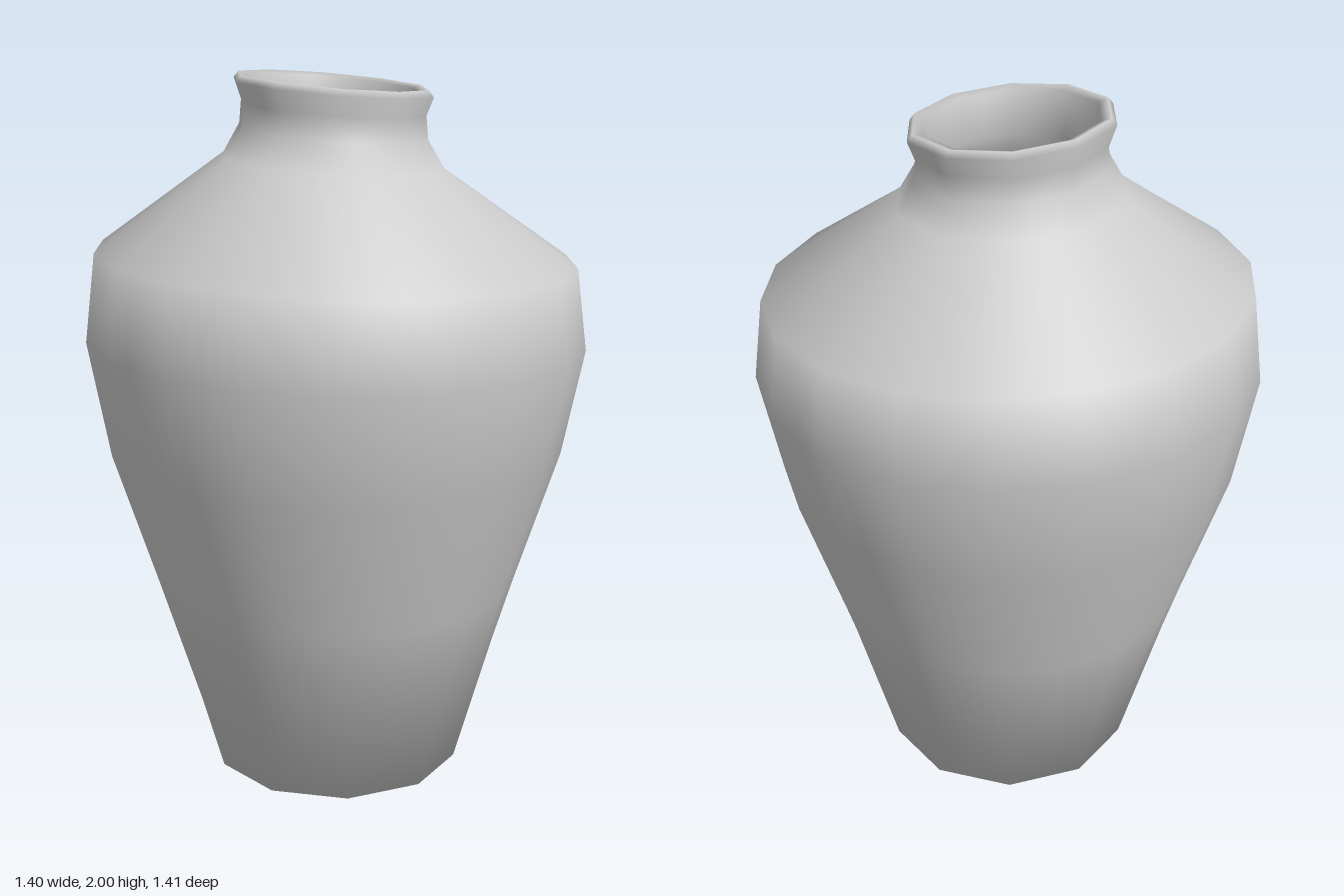
import * as THREE from 'three';

// Each ring: radius, height, number of sides, tilt (drop per unit of x and z)
const RINGS = [
  // base and outer wall
  [0.001, 0.005, 10, 0], [0.36, 0.005, 10, 0],
  [0.52, 0.56, 18, 0], [0.645, 0.95, 18, 0], [0.705, 1.265, 18, 0.015],
  // shoulder and neck
  [0.675, 1.505, 18, 0.025], [0.315, 1.765, 10, 0.04],
  [0.268, 1.845, 10, 0.05], [0.262, 1.91, 10, 0.05],
  // lip
  [0.282, 1.965, 10, 0.06], [0.268, 1.983, 10, 0.06], [0.24, 1.975, 10, 0.06],
  // inner wall and floor
  [0.225, 1.85, 10, 0.05], [0.28, 1.74, 10, 0.04], [0.635, 1.475, 18, 0.025],
  [0.66, 1.265, 18, 0.015], [0.605, 0.95, 18, 0], [0.33, 0.06, 10, 0], [0.001, 0.05, 10, 0],
];
const COLUMNS = 90; // shared multiple of all ring side counts

// Distance from centre to edge of a polygon, relative to its corner radius
function polygonScale(angle, sides) {
  const step = (Math.PI * 2) / sides;
  return Math.cos(step / 2) / Math.cos((angle % step) - step / 2);
}

export function createModel() {
  const group = new THREE.Group();
  group.name = 'vase';

  const profile = RINGS.map(([r, y]) => new THREE.Vector2(r, y));
  const geometry = new THREE.LatheGeometry(profile, COLUMNS, 0.07);

  // Flatten every ring to its polygon and lean the upper rings
  const pos = geometry.attributes.position;
  for (let i = 0; i < pos.count; i++) {
    const [, y, sides, tilt] = RINGS[i % RINGS.length];
    const column = Math.floor(i / RINGS.length);
    const s = polygonScale((column / COLUMNS) * Math.PI * 2 + 1e-6, sides);
    const x = pos.getX(i) * s;
    const z = pos.getZ(i) * s;
    const shift = y > 1.7 ? -0.015 : 0; // neck sits slightly toward the back
    pos.setXYZ(i, x, y - tilt * (x + z), z + shift);
  }

  const material = new THREE.MeshStandardMaterial({ color: 0xcccccc, side: THREE.DoubleSide });
  const body = new THREE.Mesh(geometry, material);
  body.name = 'vaseBody';
  group.add(body);
  return group;
}
